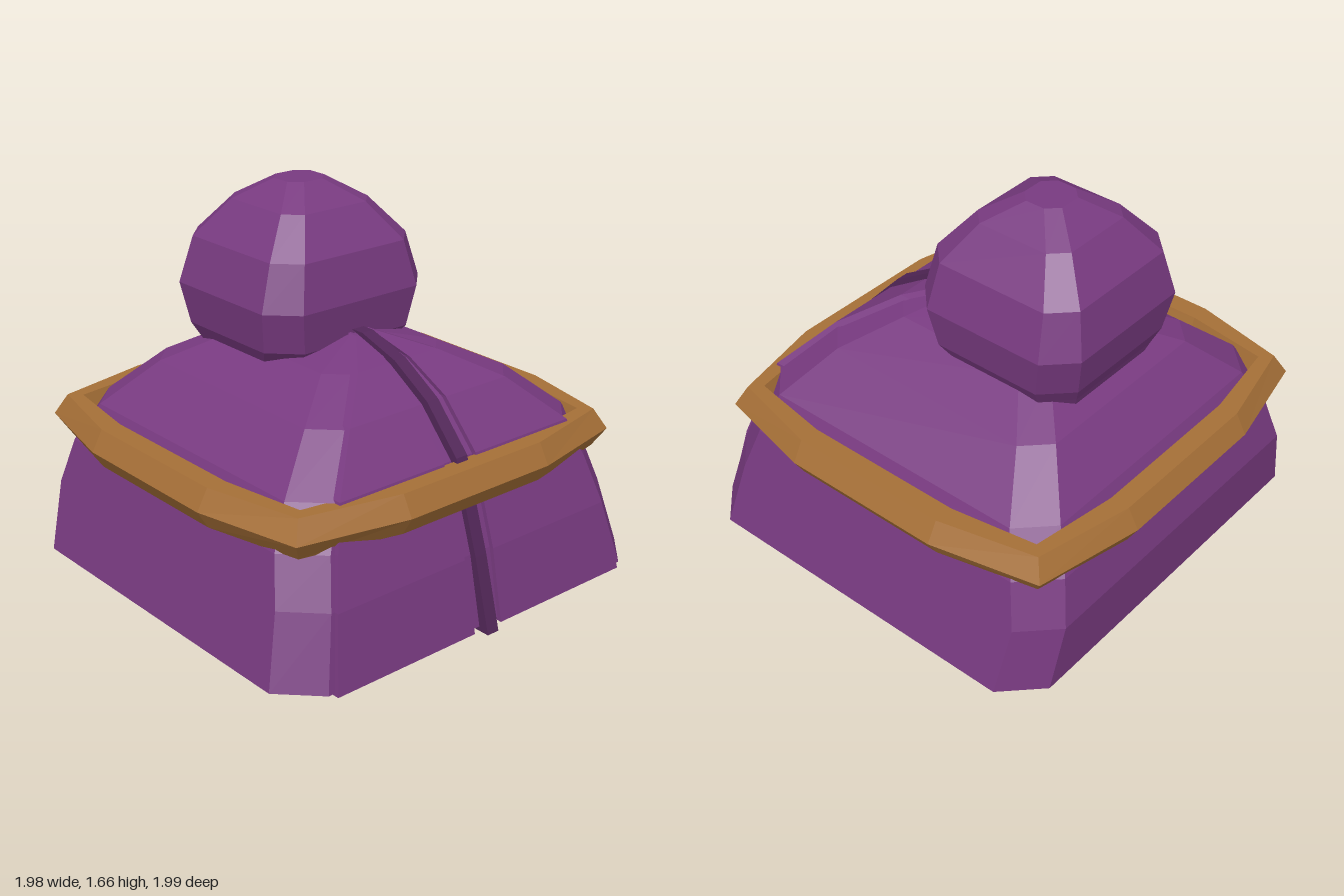
import * as THREE from 'three';

const mat = (name, color) => {
  const m = new THREE.MeshStandardMaterial({ color });
  m.name = name;
  return m;
};

// Joins equal-length loops (counter-clockwise from above, bottom to top) into a faceted solid.
function loft(rings, closed = false) {
  const pos = [];
  const tri = (...pts) => pts.forEach(p => pos.push(...p));
  const n = rings[0].length;
  const last = closed ? rings.length : rings.length - 1;
  for (let i = 0; i < last; i++) {
    const lo = rings[i], hi = rings[(i + 1) % rings.length];
    for (let j = 0; j < n; j++) {
      const k = (j + 1) % n;
      tri(lo[j], lo[k], hi[k]);
      tri(lo[j], hi[k], hi[j]);
    }
  }
  if (!closed) {
    const bottom = rings[0], top = rings[rings.length - 1];
    for (let j = 1; j < n - 1; j++) {
      tri(bottom[0], bottom[j + 1], bottom[j]);
      tri(top[0], top[j], top[j + 1]);
    }
  }
  const g = new THREE.BufferGeometry();
  g.setAttribute('position', new THREE.Float32BufferAttribute(pos, 3));
  g.computeVertexNormals();
  return g;
}

// Rectangle with cut corners: height, half width, front z, back z, corner cut
const octagon = ([y, x, f, b, c]) => [
  [-x + c, y, f], [x - c, y, f], [x, y, f - c], [x, y, b + c],
  [x - c, y, b], [-x + c, y, b], [-x, y, b + c], [-x, y, f - c],
];

const slab = (x0, x1, y, f, b) => [[x0, y, f], [x1, y, f], [x1, y, b], [x0, y, b]];

export function createModel() {
  const model = new THREE.Group();
  const purple = mat('purple cloth', 0x783a80);
  const dark = mat('dark purple seam', 0x532759);
  const gold = mat('golden brown trim', 0xa56f37);
  const add = (name, geometry, material) => {
    const mesh = new THREE.Mesh(geometry, material);
    mesh.name = name;
    model.add(mesh);
  };

  // Cloak: flared skirt below, domed shoulders above
  const cloak = [
    [0.02, 0.99, 0.95, -0.92, 0.16],
    [0.32, 0.912, 0.885, -0.94, 0.15],
    [0.52, 0.86, 0.82, -0.89, 0.15],
    [0.69, 0.77, 0.76, -0.80, 0.14],
    [0.88, 0.55, 0.585, -0.62, 0.11],
    [1.0, 0.32, 0.39, -0.42, 0.09],
    [1.065, 0.06, 0.19, -0.2, 0.015],
  ];
  add('cloak', loft(cloak.map(octagon)), purple);

  // Front panels, lying just proud of the cloak on either side of the seam
  const inner = [0.075, 0.08, 0.08, 0.088, 0.085, 0.065, 0.04];
  const outer = [0.80, 0.745, 0.69, 0.63, 0.43, 0.22, 0.055];
  const lift = i => (i === 0 ? -0.01 : i > 2 ? 0.01 : 0);
  for (const side of [1, -1]) {
    const rings = cloak.map(([y, , f], i) => {
      const [a, b] = [side * inner[i], side * outer[i]];
      return slab(Math.min(a, b), Math.max(a, b), y + lift(i), f + 0.02, f - 0.03);
    });
    add(side > 0 ? 'leftFrontPanel' : 'rightFrontPanel', loft(rings), purple);
  }

  // Narrow seam strip down the middle
  add('frontSeam', loft(cloak.map(([y, , f], i) =>
    slab(-0.03, 0.03, y + lift(i) * 2, f + (i === 0 ? 0.05 : 0.03), f - 0.04))), dark);

  // Hooded head
  const head = [
    [0.85, 0.30, 0.03, -0.53, 0.10],
    [0.96, 0.36, 0.09, -0.57, 0.11],
    [1.03, 0.40, 0.15, -0.60, 0.12],
    [1.21, 0.43, 0.18, -0.635, 0.12],
    [1.41, 0.37, 0.14, -0.59, 0.10],
    [1.57, 0.235, 0.015, -0.46, 0.07],
    [1.66, 0.10, -0.13, -0.32, 0.05],
  ];
  add('head', loft(head.map(octagon)), purple);

  // Six-sided trim band around a bowed square
  const band = (reach, corner, y) => {
    const h = 0.38, pts = [];
    for (let q = 0; q < 4; q++) {
      for (const [u, v] of [[-h, reach], [h, reach], [corner, corner]]) {
        const [x, z] = [[u, v], [v, -u], [-u, -v], [-v, u]][q];
        pts.push([x, y, z * 0.98 - 0.04]);
      }
    }
    return pts;
  };
  add('trimBand', loft([
    band(0.83, 0.77, 0.52), band(0.92, 0.82, 0.52), band(0.97, 0.865, 0.6),
    band(0.92, 0.82, 0.69), band(0.83, 0.77, 0.69), band(0.80, 0.745, 0.6),
  ], true), gold);

  return model;
}
